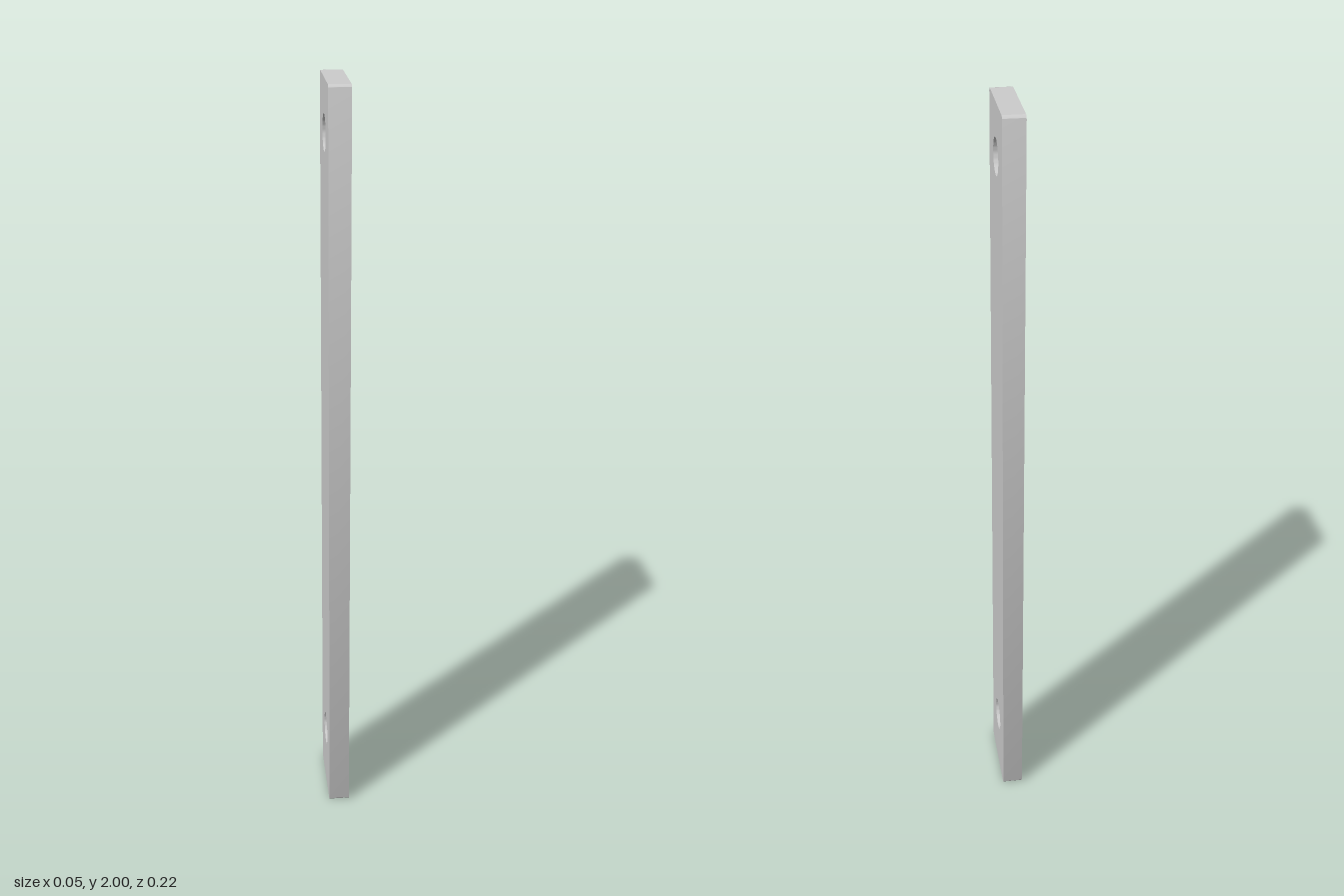
import * as THREE from 'three';
import { toCreasedNormals } from 'three/addons/utils/BufferGeometryUtils.js';

export function createModel() {
  const group = new THREE.Group();
  group.name = 'mountingBar';
  const height = 2, halfWidth = 0.111, thickness = 0.055, corner = 0.01;

  // Bar outline with slightly rounded corners
  const shape = new THREE.Shape();
  const right = halfWidth - corner, top = height - corner;
  shape.absarc(right, corner, corner, -Math.PI / 2, 0, false);
  shape.absarc(right, top, corner, 0, Math.PI / 2, false);
  shape.absarc(-right, top, corner, Math.PI / 2, Math.PI, false);
  shape.absarc(-right, corner, corner, Math.PI, Math.PI * 1.5, false);
  shape.closePath();

  // Bolt holes near both ends
  for (const y of [0.17, 1.87]) {
    const hole = new THREE.Path();
    hole.absarc(0, y, 0.045, 0, Math.PI * 2, true);
    shape.holes.push(hole);
  }

  // Extrude through the thickness, then turn the broad faces to the sides
  const geometry = new THREE.ExtrudeGeometry(shape, { depth: thickness, bevelEnabled: false, curveSegments: 24 });
  geometry.translate(0, 0, -thickness / 2);
  geometry.rotateY(Math.PI / 2);

  const bar = new THREE.Mesh(toCreasedNormals(geometry, 0.6), new THREE.MeshStandardMaterial({ color: 0xcccccc }));
  bar.name = 'drilledBar';
  group.add(bar);
  return group;
}
